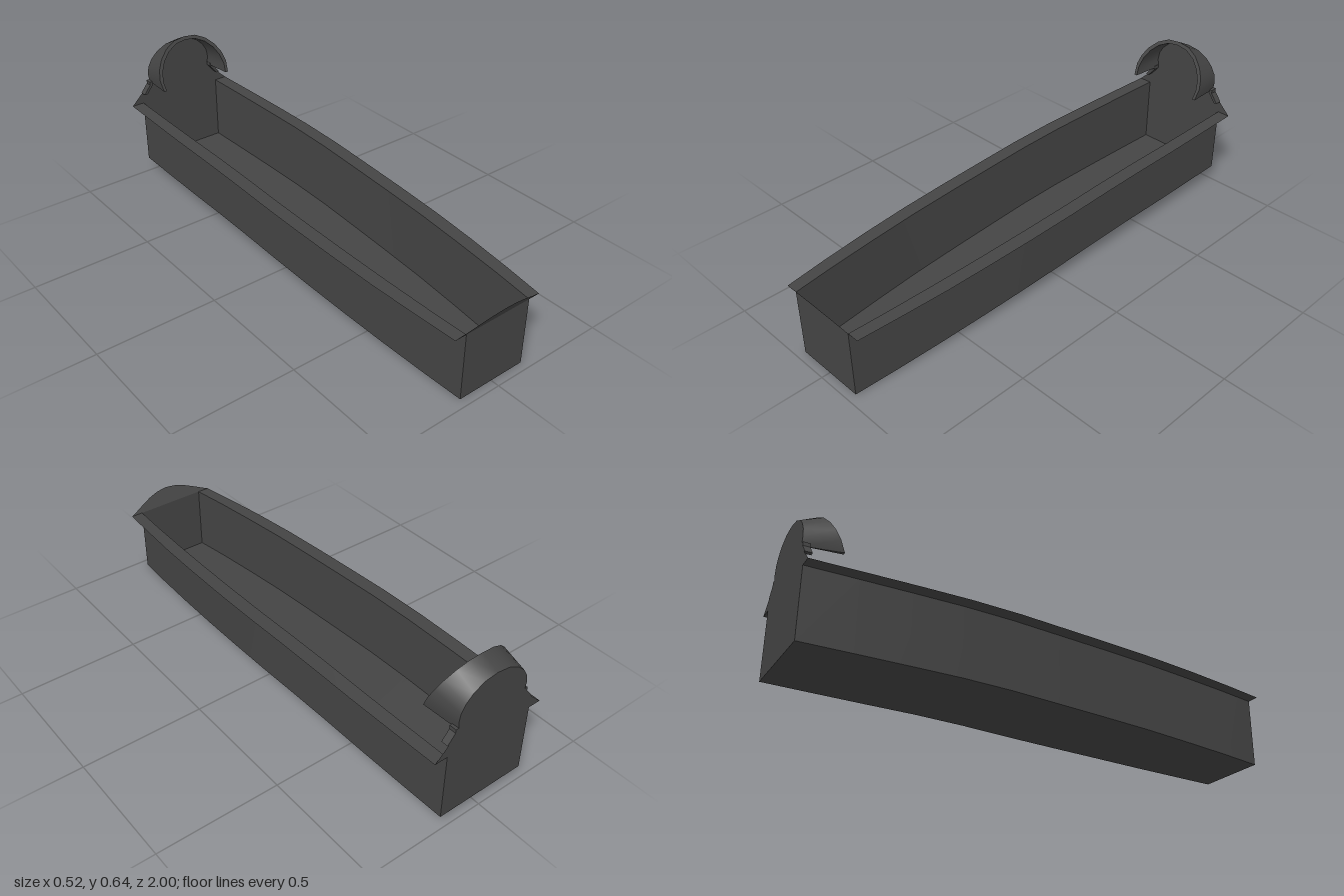
import * as THREE from 'three';

const charcoal = new THREE.MeshStandardMaterial({ color: 0x444444, side: THREE.DoubleSide });
charcoal.name = 'charcoal';

// Stations along the trough: z, wall half width, rim half width, rim height
const stations = [
  [0.965, 0.15, 0.2, 0.285],
  [0.8, 0.164, 0.217, 0.295],
  [0.6, 0.177, 0.234, 0.306],
  [0.4, 0.187, 0.245, 0.317],
  [0.2, 0.193, 0.252, 0.326],
  [0, 0.197, 0.256, 0.335],
  [-0.2, 0.199, 0.258, 0.345],
  [-0.4, 0.199, 0.258, 0.35],
  [-0.6, 0.198, 0.256, 0.35],
  [-0.8, 0.195, 0.251, 0.35],
  [-1, 0.191, 0.245, 0.35],
];
const depth = 0.28;

// Right half of the head outline on the back plate, and the flared front of the hood
const headEdge = [[0.15, 0.445], [0.156, 0.48], [0.15, 0.515], [0.132, 0.546], [0.102, 0.575], [0.055, 0.598], [0, 0.605]];
const hoodEdge = [[0.165, 0.455], [0.17, 0.5], [0.16, 0.54], [0.137, 0.578], [0.1, 0.613], [0.053, 0.636], [0, 0.642]];
const hoodInner = [[0.152, 0.455], [0.156, 0.49], [0.147, 0.53], [0.125, 0.568], [0.092, 0.6], [0.048, 0.622], [0, 0.628]];

// Continue a half outline over to the other side
const mirrorArc = (half) => [...half, ...half.slice(0, -1).reverse().map(([x, y]) => [-x, y])];

// Surface stretched between two matching rows of points
function strip(name, rowA, rowB) {
  const pos = [];
  const index = [];
  rowA.forEach((a, i) => {
    pos.push(...a, ...rowB[i]);
    if (i > 0) {
      const k = 2 * i;
      index.push(k - 2, k - 1, k, k, k - 1, k + 1);
    }
  });
  const g = new THREE.BufferGeometry();
  g.setAttribute('position', new THREE.Float32BufferAttribute(pos, 3));
  g.setIndex(index);
  g.computeVertexNormals();
  // Make the stored winding face away from the trough's middle line, or upward
  const mesh = new THREE.Mesh(g, charcoal);
  mesh.name = name;
  return mesh;
}

function plate(name, points) {
  const shape = new THREE.Shape(points.map(([x, y]) => new THREE.Vector2(x, y)));
  const mesh = new THREE.Mesh(new THREE.ShapeGeometry(shape), charcoal);
  mesh.name = name;
  return mesh;
}

export function createModel() {
  const model = new THREE.Group();
  model.name = 'trough';

  // Side walls and flat rims
  for (const s of [1, -1]) {
    const side = s > 0 ? 'left' : 'right';
    const top = stations.map(([z, w, r, y]) => [s * w, y, z]);
    const bottom = stations.map(([z, w, r, y]) => [s * w, y - depth, z]);
    const outer = stations.map(([z, w, r, y]) => [s * r, y, z]);
    model.add(s > 0 ? strip(side + 'Wall', top, bottom) : strip(side + 'Wall', bottom, top));
    model.add(s > 0 ? strip(side + 'Rim', outer, top) : strip(side + 'Rim', top, outer));
  }

  // Floor following the rise of the rim
  model.add(strip('floor',
    stations.map(([z, w, r, y]) => [w, y - depth, z]),
    stations.map(([z, w, r, y]) => [-w, y - depth, z])));

  // Front wall
  const front = plate('frontWall', [[-0.15, 0.005], [0.15, 0.005], [0.15, 0.285], [-0.15, 0.285]]);
  front.position.z = 0.965;
  model.add(front);

  // Curved front lip leaning outward
  const lip = mirrorArc([[0.2, 0.285], [0.17, 0.297], [0.135, 0.312], [0.09, 0.33], [0.045, 0.342], [0, 0.347]]);
  const lean = (y) => 0.965 + (y - 0.285) * 0.035 / 0.062;
  model.add(strip('frontLip',
    lip.map(([x, y]) => [x, y, lean(y)]),
    lip.map(([x]) => [x, 0.285, 0.965])));

  // Back plate with shoulders and rounded head
  const back = plate('backPlate', [
    [-0.191, 0.07], [0.191, 0.07], [0.191, 0.35], [0.245, 0.35], [0.19, 0.402],
    ...mirrorArc(headEdge),
    [-0.19, 0.402], [-0.245, 0.35], [-0.191, 0.35],
  ]);
  back.position.z = -1;
  model.add(back);

  // Hood flaring forward from the head
  const hood = new THREE.Group();
  hood.name = 'hood';
  const flare = (y) => -0.85 - (Math.max(y, 0.455) - 0.455) * 0.08 / 0.187;
  const rear = mirrorArc(headEdge).map(([x, y]) => [x, y, -1]);
  const outerArc = mirrorArc(hoodEdge).map(([x, y]) => [x, y, flare(y)]);
  const innerArc = mirrorArc(hoodInner).map(([x, y]) => [x, y, flare(y)]);
  hood.add(strip('hoodOuter', rear, outerArc));
  hood.add(strip('hoodInner', innerArc, rear));
  hood.add(strip('hoodEdge', outerArc, innerArc));
  // Small triangles closing the lower ends
  for (const i of [0, rear.length - 1]) {
    hood.add(strip('hoodEnd', [rear[i], rear[i]], [outerArc[i], innerArc[i]]));
  }
  model.add(hood);

  // Narrow straps from the hood down to the shoulders
  for (const s of [1, -1]) {
    const shape = new THREE.Shape([
      [0.15, 0.455], [0.15, 0.44], [0.182, 0.4], [0.196, 0.402], [0.165, 0.44], [0.165, 0.455],
    ].map(([x, y]) => new THREE.Vector2(s * x, y)));
    const strap = new THREE.Mesh(new THREE.ExtrudeGeometry(shape, { depth: 0.028, bevelEnabled: false }), charcoal);
    strap.name = s > 0 ? 'leftStrap' : 'rightStrap';
    strap.position.z = -1;
    model.add(strap);
  }
  return model;
}
